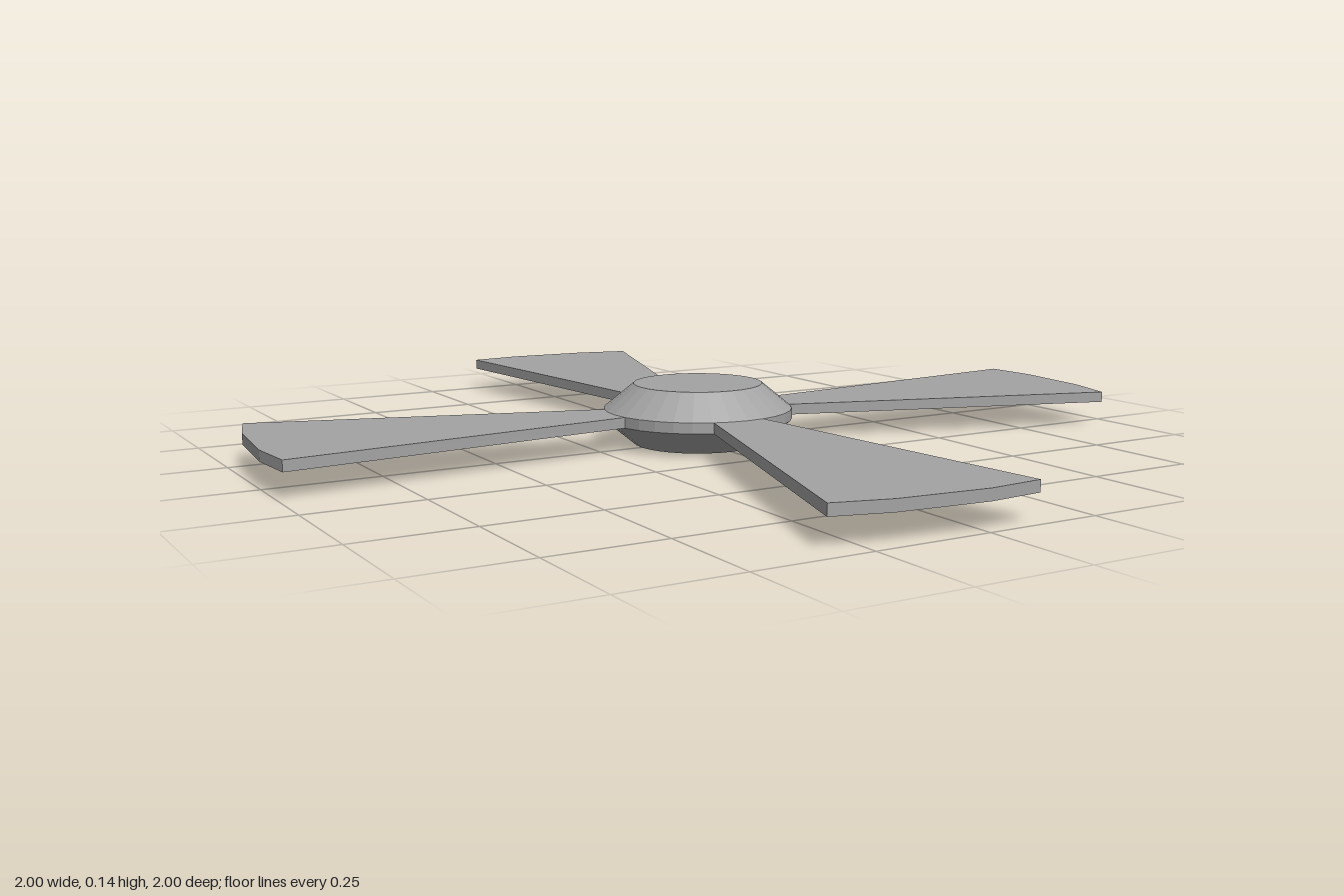
import * as THREE from 'three';

const SIDES = 32;
const TOP = 0.136;           // hub height
const BLADE_TOP = 0.08;
const BLADE_BOTTOM = 0.056;

export function createModel() {
  const group = new THREE.Group();
  const material = new THREE.MeshStandardMaterial({ color: 0xa3a3a3, flatShading: true });

  // Hub: two mirrored cones joined by a thin rim
  const profile = [
    [0, 0], [0.146, 0], [0.214, BLADE_BOTTOM], [0.214, BLADE_TOP], [0.146, TOP], [0, TOP],
  ].map(([r, y]) => new THREE.Vector2(r, y));
  const hub = new THREE.Mesh(new THREE.LatheGeometry(profile, SIDES), material);
  hub.name = 'hub';
  group.add(hub);

  // Blade outline in x/z, flaring outwards to a faceted arc at the tip
  const step = (Math.PI * 2) / SIDES;
  const outline = new THREE.Shape([
    [0.15, -0.035], [0.99, -0.123], [1, 0],
    [Math.cos(step), Math.sin(step)], [0.948, 0.314], [0.15, 0.063],
  ].map(([x, z]) => new THREE.Vector2(x, z)));
  const bladeGeometry = new THREE.ExtrudeGeometry(outline, {
    depth: BLADE_TOP - BLADE_BOTTOM, bevelEnabled: false,
  });
  bladeGeometry.rotateX(Math.PI / 2).translate(0, BLADE_TOP, 0);

  // Four blades around the hub
  for (let i = 0; i < 4; i++) {
    const blade = new THREE.Mesh(bladeGeometry, material);
    blade.name = `blade${i + 1}`;
    blade.rotation.y = (i * Math.PI) / 2;
    group.add(blade);
  }
  return group;
}
